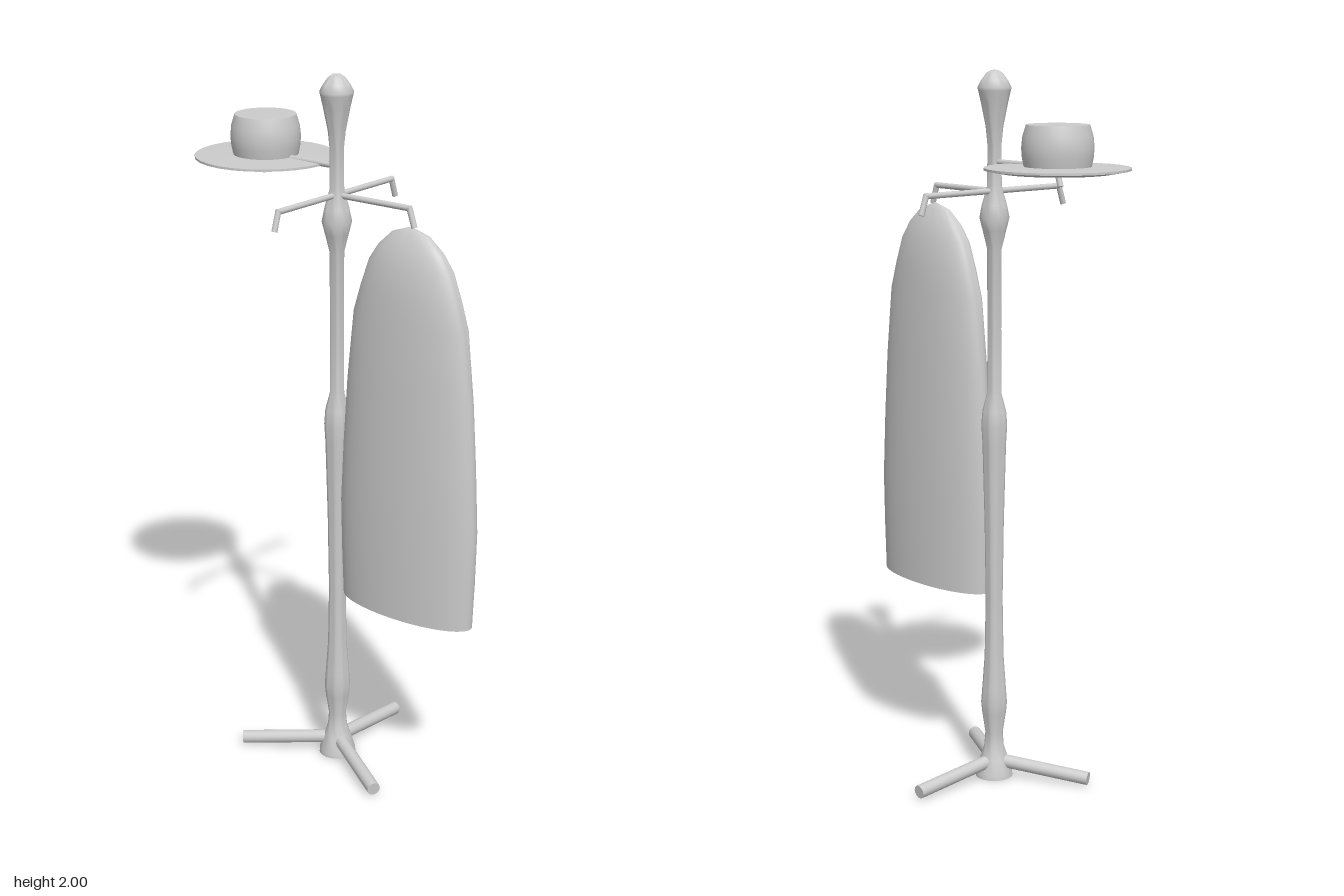
import * as THREE from 'three';
import { toCreasedNormals } from 'three/addons/utils/BufferGeometryUtils.js';

const PX = -0.018, PZ = 0.006; // axis of the post

export function createModel() {
  const model = new THREE.Group();
  model.name = 'coatStand';
  const grey = new THREE.MeshStandardMaterial({ color: 0xcccccc });
  grey.name = 'light grey';

  const add = (name, geometry, x = 0, y = 0, z = 0, parent = model) => {
    const mesh = new THREE.Mesh(geometry, grey);
    mesh.name = name;
    mesh.position.set(x, y, z);
    parent.add(mesh);
    return mesh;
  };

  // Turned shape from [radius, height] pairs, bottom to top
  const turned = (profile, sides) =>
    new THREE.LatheGeometry(profile.map(([r, y]) => new THREE.Vector2(r, y)), sides);

  // Round bar between two points
  const bar = (name, from, to, radius, parent) => {
    const a = new THREE.Vector3(...from), b = new THREE.Vector3(...to);
    const dir = b.clone().sub(a);
    const mesh = add(name, new THREE.CylinderGeometry(radius, radius, dir.length(), 14), 0, 0, 0, parent);
    mesh.position.copy(a).add(b).multiplyScalar(0.5);
    mesh.quaternion.setFromUnitVectors(new THREE.Vector3(0, 1, 0), dir.normalize());
  };

  // Post with foot, turned bulges and finial
  add('post', toCreasedNormals(turned([
    [0, 0], [0.053, 0], [0.052, 0.012], [0.039, 0.055], [0.028, 0.09], [0.025, 0.13],
    [0.034, 0.19], [0.037, 0.22], [0.034, 0.26], [0.027, 0.36], [0.024, 0.53],
    [0.027, 0.75], [0.033, 0.98], [0.036, 1.03], [0.033, 1.07], [0.02, 1.12],
    [0.019, 1.3], [0.02, 1.52], [0.032, 1.57], [0.041, 1.605], [0.034, 1.64], [0.02, 1.69],
    [0.019, 1.8], [0.024, 1.85], [0.036, 1.91], [0.044, 1.945], [0.046, 1.953],
    [0.036, 1.972], [0.023, 1.99], [0.012, 1.998], [0, 2],
  ], 24), 0.8), PX, 0, PZ);

  // Three sloping legs
  for (let i = 0; i < 3; i++) {
    const leg = new THREE.Group();
    leg.name = 'leg';
    leg.position.set(PX, 0, PZ);
    leg.rotation.y = Math.PI / 2 + (i * Math.PI * 2) / 3;
    bar('legBar', [0, 0.048, 0], [0.281, 0.022, 0], 0.019, leg);
    model.add(leg);
  }

  // Four hooks: left, back, right (higher, holds the hat), front
  const heights = [1.677, 1.677, 1.755, 1.677];
  heights.forEach((y, i) => {
    const hook = new THREE.Group();
    hook.name = 'hook';
    hook.position.set(PX, y, PZ);
    hook.rotation.y = (i * Math.PI) / 2;
    bar('hookArm', [0, 0, 0], [0.245, 0, 0], 0.008, hook);
    bar('hookTip', [0.24, 0.004, 0], [0.258, -0.05, 0], 0.008, hook);
    model.add(hook);
  });

  // Hat: thin brim and barrel-shaped crown
  const hat = new THREE.Group();
  hat.name = 'hat';
  hat.position.set(-0.265, 0, PZ);
  model.add(hat);
  add('brim', toCreasedNormals(turned([
    [0, 1.738], [0.15, 1.74], [0.194, 1.748], [0.194, 1.754], [0.09, 1.757],
  ], 28), 0.6), 0, 0, 0, hat);
  add('crown', toCreasedNormals(turned([
    [0.088, 1.75], [0.094, 1.78], [0.096, 1.805], [0.093, 1.835], [0.084, 1.865], [0, 1.866],
  ], 28), 0.8), 0, 0, 0, hat);

  // Coat: elliptical sections of [height, half width, half depth]
  const sections = [
    [0.535, 0, 0], [0.535, 0.216, 0.077], [0.67, 0.222, 0.077], [0.82, 0.226, 0.076],
    [1.0, 0.217, 0.073], [1.18, 0.205, 0.068], [1.375, 0.184, 0.063], [1.45, 0.161, 0.058],
    [1.525, 0.134, 0.05], [1.57, 0.104, 0.036], [1.61, 0.06, 0.018], [1.63, 0, 0],
  ];
  const coat = turned(sections.map(([y, w]) => [w, y]), 40);
  const pos = coat.attributes.position;
  for (let i = 0; i < pos.count; i++) {
    const [, w, d] = sections[i % sections.length];
    if (w > 0) pos.setZ(i, (pos.getZ(i) * d) / w);
  }
  add('coat', toCreasedNormals(coat, 0.9), 0.23, 0, PZ);

  return model;
}
